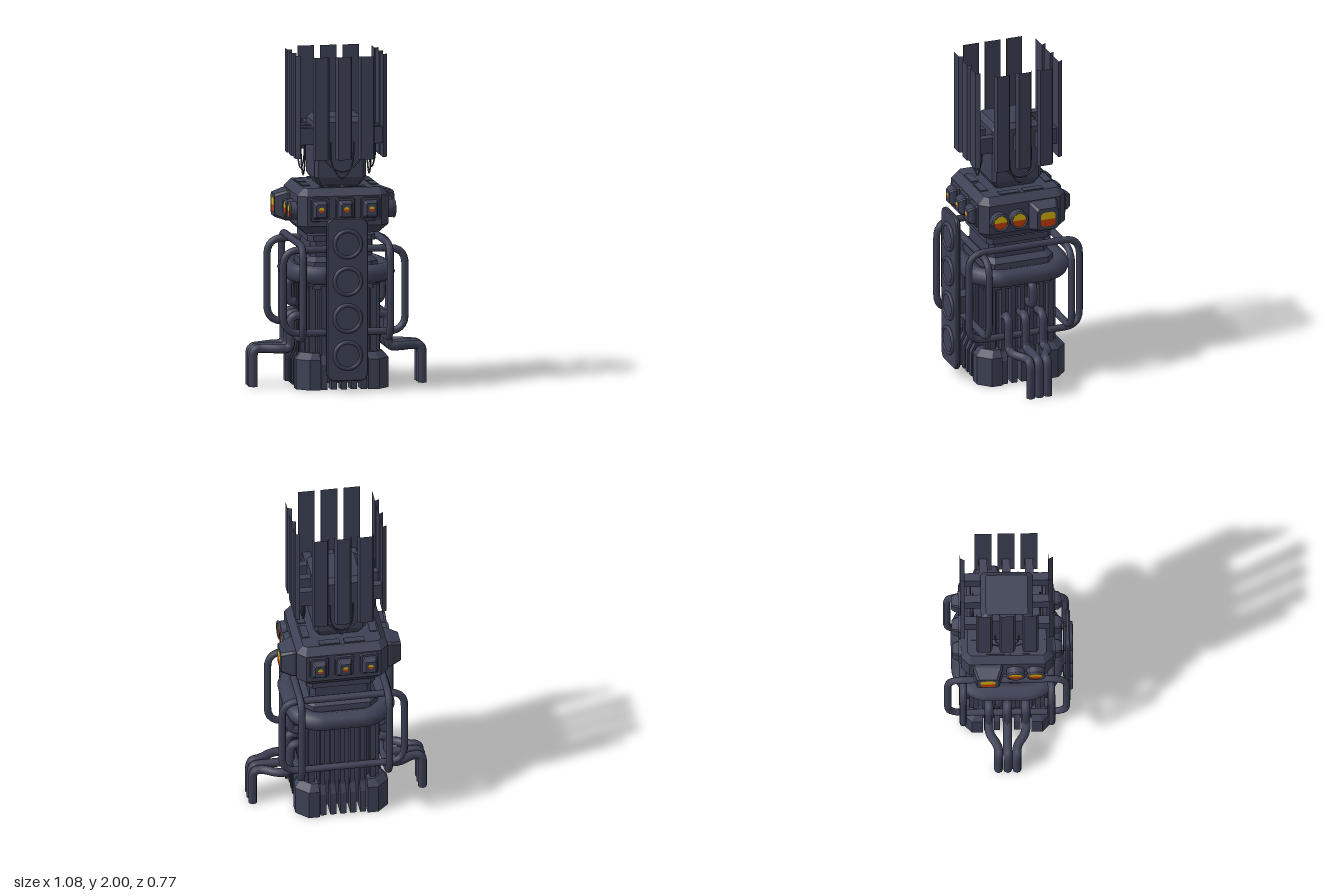
import * as THREE from 'three';

const V = (x, y, z) => new THREE.Vector3(x, y, z);

// Flat-shaded solid through matching polygon rings [y, [[x, z], ...]]
function loft(rings, caps = true) {
  const pos = [];
  const put = (r, i) => pos.push(r[1][i][0], r[0], r[1][i][1]);
  const n = rings[0][1].length;
  for (let k = 0; k < rings.length - 1; k++) {
    const a = rings[k], b = rings[k + 1];
    for (let i = 0; i < n; i++) {
      const j = (i + 1) % n;
      put(a, i); put(a, j); put(b, j);
      put(a, i); put(b, j); put(b, i);
    }
  }
  const lo = rings[0], hi = rings[rings.length - 1];
  for (let i = 1; caps && i < n - 1; i++) {
    put(hi, 0); put(hi, i); put(hi, i + 1);
    put(lo, 0); put(lo, i + 1); put(lo, i);
  }
  const g = new THREE.BufferGeometry();
  g.setAttribute('position', new THREE.Float32BufferAttribute(pos, 3));
  g.computeVertexNormals();
  return g;
}

// Rectangle with cut corners
const oct = (w, d, c) => [[w, d - c], [w, c - d], [w - c, -d], [c - w, -d], [-w, c - d], [-w, d - c], [c - w, d], [w - c, d]];
// Block rising towards +z, rows of [z, halfWidth, halfHeight, cut]
const boss = (rows) => loft(rows.map(([z, w, h, c]) => [z, oct(w, h, c)])).rotateX(Math.PI / 2);

// Pipe through points with rounded corners
function pipe(pts, r, bend, closed = false, segs = 72) {
  const path = new THREE.CurvePath(), n = pts.length, ends = [];
  for (let i = 0; i < n; i++) {
    const p = pts[i], a = pts[(i + n - 1) % n], b = pts[(i + 1) % n];
    if (!closed && (i === 0 || i === n - 1)) { ends.push([p, p]); continue; }
    const cut = (q) => p.clone().add(q.clone().sub(p).setLength(Math.min(bend, p.distanceTo(q) * 0.48)));
    ends.push([cut(a), cut(b)]);
  }
  for (let i = 0; i < n; i++) {
    const [s, e] = ends[i];
    if (s !== e) path.add(new THREE.QuadraticBezierCurve3(s, pts[i], e));
    if (closed || i < n - 1) path.add(new THREE.LineCurve3(e, ends[(i + 1) % n][0]));
  }
  return new THREE.TubeGeometry(path, segs, r, 8, closed);
}

export function createModel() {
  const metal = new THREE.MeshStandardMaterial({ color: 0x3d4155 });
  const yellow = new THREE.MeshStandardMaterial({ color: 0xd6b60a });
  const orange = new THREE.MeshStandardMaterial({ color: 0xc83e0c });
  metal.name = 'dark metal'; yellow.name = 'lamp yellow'; orange.name = 'lamp orange';

  const root = new THREE.Group();
  const core = new THREE.Group();
  core.name = 'machine';
  core.position.z = -0.01;
  root.add(core);
  const add = (parent, name, geo, x = 0, y = 0, z = 0, mat = metal) => {
    const m = new THREE.Mesh(geo, mat);
    m.name = name;
    m.position.set(x, y, z);
    parent.add(m);
    return m;
  };
  const box = (w, h, d) => new THREE.BoxGeometry(w, h, d);
  const stack = (name, rows) => add(core, name, loft(rows.map(([y, w, c]) => [y, oct(w, w, c)])));

  // Central column
  stack('lowerBody', [[0.03, 0.2, 0.05], [0.62, 0.2, 0.05]]);
  stack('upperBody', [[0.6, 0.23, 0.05], [0.76, 0.22, 0.05], [0.79, 0.185, 0.03], [0.89, 0.185, 0.03]]);
  stack('upperBand', [[0.885, 0.205, 0.03], [0.92, 0.205, 0.03]]);
  stack('head', [[0.935, 0.225, 0.03], [0.985, 0.275, 0.05], [1.165, 0.275, 0.05], [1.21, 0.235, 0.02]]);
  stack('neck', [[1.205, 0.12, 0.01], [1.26, 0.155, 0.02], [1.59, 0.155, 0.02], [1.62, 0.125, 0.01]]);

  // Thick collar pipe
  const collar = oct(0.275, 0.275, 0.1).map(([x, z]) => V(x, 0.69, z));
  add(core, 'collarPipe', pipe(collar, 0.057, 0.06, true, 96));

  // Lamp split into a yellow upper and an orange lower half
  function roundLamp(parent, x, y, z, r) {
    add(parent, 'lampTop', new THREE.CircleGeometry(r, 16, 0, Math.PI), x, y, z, yellow);
    add(parent, 'lampBottom', new THREE.CircleGeometry(r, 16, Math.PI, Math.PI), x, y, z, orange);
  }
  const halfSquare = new THREE.Shape([[-0.045, 0], [0.045, 0], [0.045, 0.03], [0.03, 0.045], [-0.03, 0.045], [-0.045, 0.03]]
    .map(([x, y]) => new THREE.Vector2(x, y)));

  // The four sides, each built facing +z and turned into place
  ['front', 'right', 'back', 'left'].forEach((label, k) => {
    const side = new THREE.Group();
    side.name = label + 'Side';
    side.rotation.y = k * Math.PI / 2;
    core.add(side);

    // Crown plates with brackets
    for (const x of [-0.137, 0, 0.137]) {
      const s = [[x + 0.05, 0.255], [x + 0.05, 0.25], [x - 0.05, 0.25], [x - 0.05, 0.255], [x - 0.038, 0.277], [x + 0.038, 0.277]];
      add(side, 'crownPlate', loft([[1.38, s], [2, s]], false));
      add(side, 'plateBracket', box(0.05, 0.1, 0.12), x, 1.51, 0.2);
    }

    // Hanging wires
    for (const [w, drop, z] of [[0.07, 1.26, 0.2], [0.13, 1.3, 0.215]]) {
      const c = new THREE.CatmullRomCurve3([V(-w, 1.48, z), V(-w * 0.85, drop + 0.08, z), V(0, drop, z), V(w * 0.85, drop + 0.08, z), V(w, 1.48, z)]);
      add(side, 'hangingWire', new THREE.TubeGeometry(c, 24, 0.005, 6));
    }

    // Cooling ribs and foot ribs
    for (let i = -2; i <= 2; i++) {
      const x = i * 0.06;
      add(side, 'bodyRib', box(0.028, 0.46, 0.06), x, 0.39, 0.21);
      const rib = (z) => [[x + 0.018, z], [x + 0.018, 0.17], [x - 0.018, 0.17], [x - 0.018, z]];
      add(side, 'footRib', loft([[0, rib(0.265)], [0.15, rib(0.265)], [0.21, rib(0.235)]]));
    }
    for (const s of [-1, 1]) add(side, 'cornerRib', box(0.035, 0.44, 0.05), s * 0.185, 0.4, 0.2);

    // Corner foot
    const foot = (a, b) => [[0.145, 0.145], [0.145, a], [b, a], [a, b], [a, 0.145]];
    add(side, 'cornerFoot', loft([[0, foot(0.28, 0.21)], [0.18, foot(0.28, 0.21)], [0.22, foot(0.245, 0.19)]]));

    // Thin cover plates on top of the head
    add(side, 'topCover', box(0.125, 0.008, 0.045), -0.075, 1.212, 0.205);
    add(side, 'topCover', box(0.125, 0.008, 0.045), 0.075, 1.212, 0.205);

    if (k % 2 === 0) {
      // Three stepped switch housings with small lamps
      for (const x of [-0.148, 0.004, 0.156]) {
        add(side, 'switchHousing', boss([[0.26, 0.062, 0.075, 0.01], [0.288, 0.055, 0.068, 0.01]]), x, 1.085, 0);
        add(side, 'switchFace', boss([[0.28, 0.046, 0.056, 0.008], [0.31, 0.042, 0.05, 0.008], [0.328, 0.03, 0.038, 0.006]]), x, 1.085, 0);
        roundLamp(side, x, 1.09, 0.33, 0.016);
      }
    } else {
      // Two round lamps and one large square lamp
      const s = k === 1 ? 1 : -1;
      for (const x of [-0.17, -0.05]) {
        add(side, 'lampBarrel', new THREE.CylinderGeometry(0.052, 0.056, 0.05, 24).rotateX(Math.PI / 2), s * x, 1.07, 0.292);
        add(side, 'lampRim', new THREE.TorusGeometry(0.05, 0.008, 8, 24), s * x, 1.07, 0.317);
        roundLamp(side, s * x, 1.07, 0.319, 0.046);
      }
      add(side, 'squareLampHousing', boss([[0.26, 0.09, 0.092, 0.012], [0.295, 0.088, 0.09, 0.012], [0.362, 0.066, 0.068, 0.015]]), s * 0.115, 1.07, 0);
      const lamp = new THREE.ShapeGeometry(halfSquare);
      add(side, 'squareLampTop', lamp, s * 0.115, 1.07, 0.365, yellow);
      add(side, 'squareLampBottom', lamp, s * 0.115, 1.07, 0.365, orange).rotation.z = Math.PI;
    }
  });

  // Guard rails: two along z, two along x
  for (const s of [-1, 1]) {
    const x = s * 0.264;
    add(core, 'sideRail', pipe([V(x, 0.31, -0.353), V(x, 0.31, 0.353), V(x, 0.875, 0.353), V(x, 0.875, -0.353)], 0.022, 0.1, true, 96));
    const z = s * 0.263;
    add(core, 'crossRail', pipe([V(-0.369, 0.345, z), V(0.369, 0.345, z), V(0.369, 0.845, z), V(-0.369, 0.845, z)], 0.022, 0.1, true, 96));
  }

  // Three bent pipes on each side, running from the ground into the body
  for (const s of [-1, 1]) {
    for (const [z0, z1, top] of [[-0.055, -0.11, 0.43], [0, 0, 0.43], [0.055, 0.11, 0.43]]) {
      const pts = [V(0.512, 0, z0), V(0.512, 0.225, z0), V(0.45, 0.23, z0), V(0.37, 0.23, z1), V(0.295, 0.23, z1), V(0.295, top, z1), V(0.18, top, z1)];
      pts.forEach((p) => { p.x *= s; });
      add(core, 'floorPipe', pipe(pts, 0.027, 0.045, false, 80));
      add(core, 'pipeEnd', new THREE.CircleGeometry(0.027, 8).rotateX(Math.PI / 2), s * 0.512, 0.001, z0);
    }
    const riser = [V(0.18, 0.49, -0.05), V(0.285, 0.49, -0.05), V(0.285, 0.625, -0.05), V(0.18, 0.625, -0.05)];
    riser.forEach((p) => { p.x *= s; });
    add(core, 'riserPipe', pipe(riser, 0.027, 0.045));
  }

  // Front panel with four round ports
  const panel = new THREE.Shape();
  const w = 0.12, h = 0.485, c = 0.05;
  panel.moveTo(c - w, -h).lineTo(w - c, -h).quadraticCurveTo(w, -h, w, c - h).lineTo(w, h - c).quadraticCurveTo(w, h, w - c, h)
    .lineTo(c - w, h).quadraticCurveTo(-w, h, -w, h - c).lineTo(-w, c - h).quadraticCurveTo(-w, -h, c - w, -h);
  add(core, 'frontPanel', new THREE.ExtrudeGeometry(panel, { depth: 0.012, bevelThickness: 0.008, bevelSize: 0.006, bevelSegments: 1, curveSegments: 8 }), 0, 0.555, 0.358);
  for (const y of [0.22, 0.443, 0.666, 0.89]) {
    add(core, 'portDisc', new THREE.CylinderGeometry(0.07, 0.09, 0.05, 32).rotateX(Math.PI / 2), 0, y, 0.363);
    add(core, 'portRim', new THREE.TorusGeometry(0.079, 0.012, 8, 32), 0, y, 0.383);
  }
  add(core, 'panelBracket', box(0.1, 0.11, 0.16), 0, 0.455, 0.28);
  return root;
}
